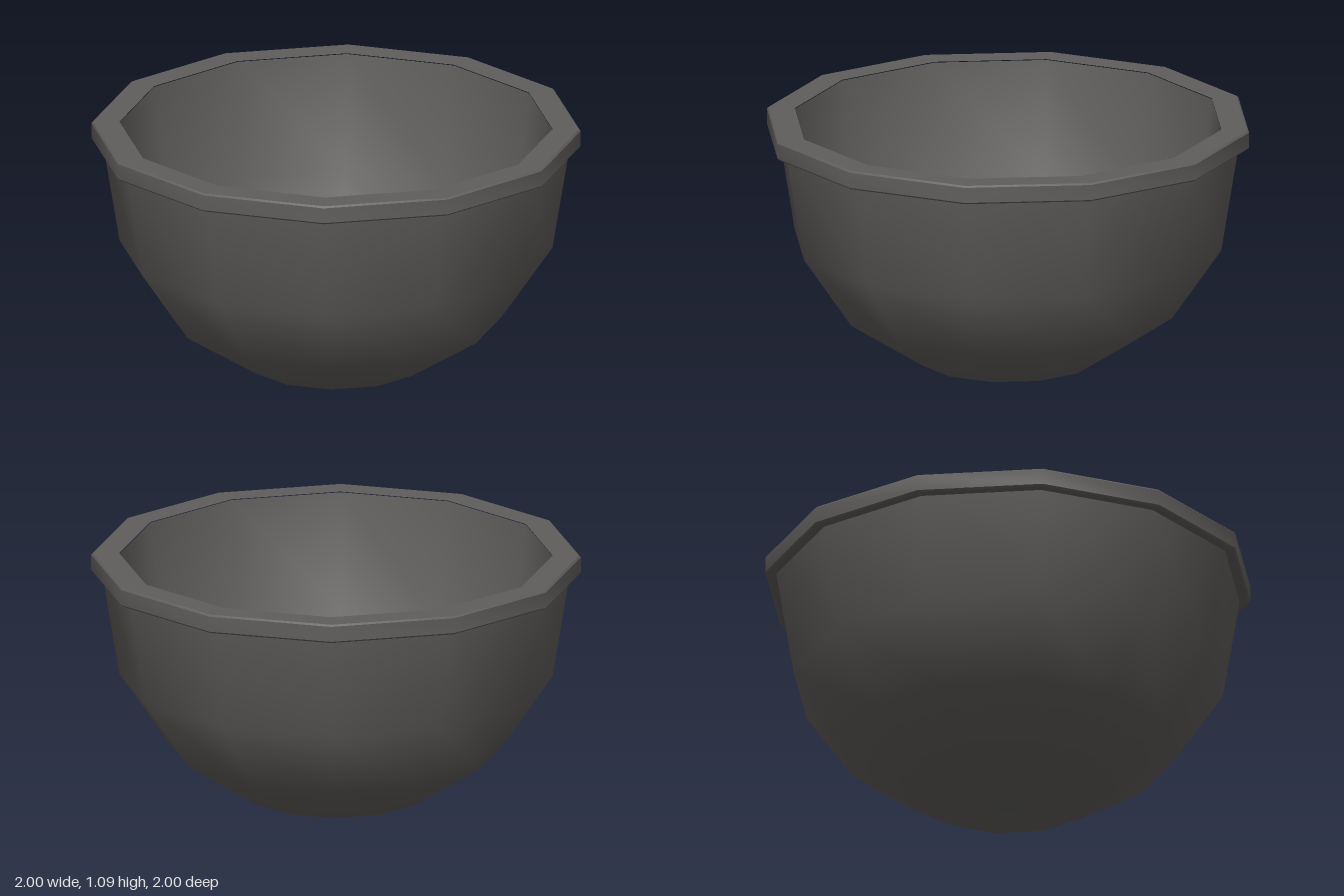
import * as THREE from 'three';
import { toCreasedNormals } from 'three/addons/utils/BufferGeometryUtils.js';
import { RoundedBoxGeometry } from 'three/addons/geometries/RoundedBoxGeometry.js';

const SIDES = 12;

function lathe(profile) {
  return new THREE.LatheGeometry(profile.map(([r, y]) => new THREE.Vector2(r, y)), SIDES);
}

export function createModel() {
  const model = new THREE.Group();
  model.name = 'bowlWithBlock';

  const bowlGrey = new THREE.MeshStandardMaterial({ color: 0x605e5c });
  bowlGrey.name = 'bowlGrey';
  const blockYellow = new THREE.MeshStandardMaterial({ color: 0xd2b510 });
  blockYellow.name = 'blockYellow';

  function add(name, geometry, material) {
    const mesh = new THREE.Mesh(geometry, material);
    mesh.name = name;
    model.add(mesh);
    return mesh;
  }

  // Outer shell, bottom to top so it faces outwards
  add('bowlOutside', lathe([[0, 0], [0.37, 0.075], [0.68, 0.275], [0.885, 0.575], [0.957, 1.02]]), bowlGrey);

  // Inner shell, top to bottom so it faces inwards
  add('bowlInside', lathe([[0.885, 1.085], [0.815, 0.61], [0.63, 0.335], [0.345, 0.15], [0, 0.08]]), bowlGrey);

  // Thick rim with slightly chamfered outer edges
  const rim = lathe([[0.885, 1.01], [0.993, 1.01], [1, 1.017], [1, 1.081], [0.993, 1.088], [0.885, 1.088]]);
  add('rim', toCreasedNormals(rim, THREE.MathUtils.degToRad(35)), bowlGrey);

  // Rounded block wedged in the bowl, turned and slightly tilted
  const block = add('block', new RoundedBoxGeometry(0.39, 0.3, 0.69, 3, 0.03), blockYellow);
  block.position.set(0.105, 0.415, -0.09);
  block.rotation.set(THREE.MathUtils.degToRad(2.5), THREE.MathUtils.degToRad(31.5), 0, 'YXZ');

  return model;
}
